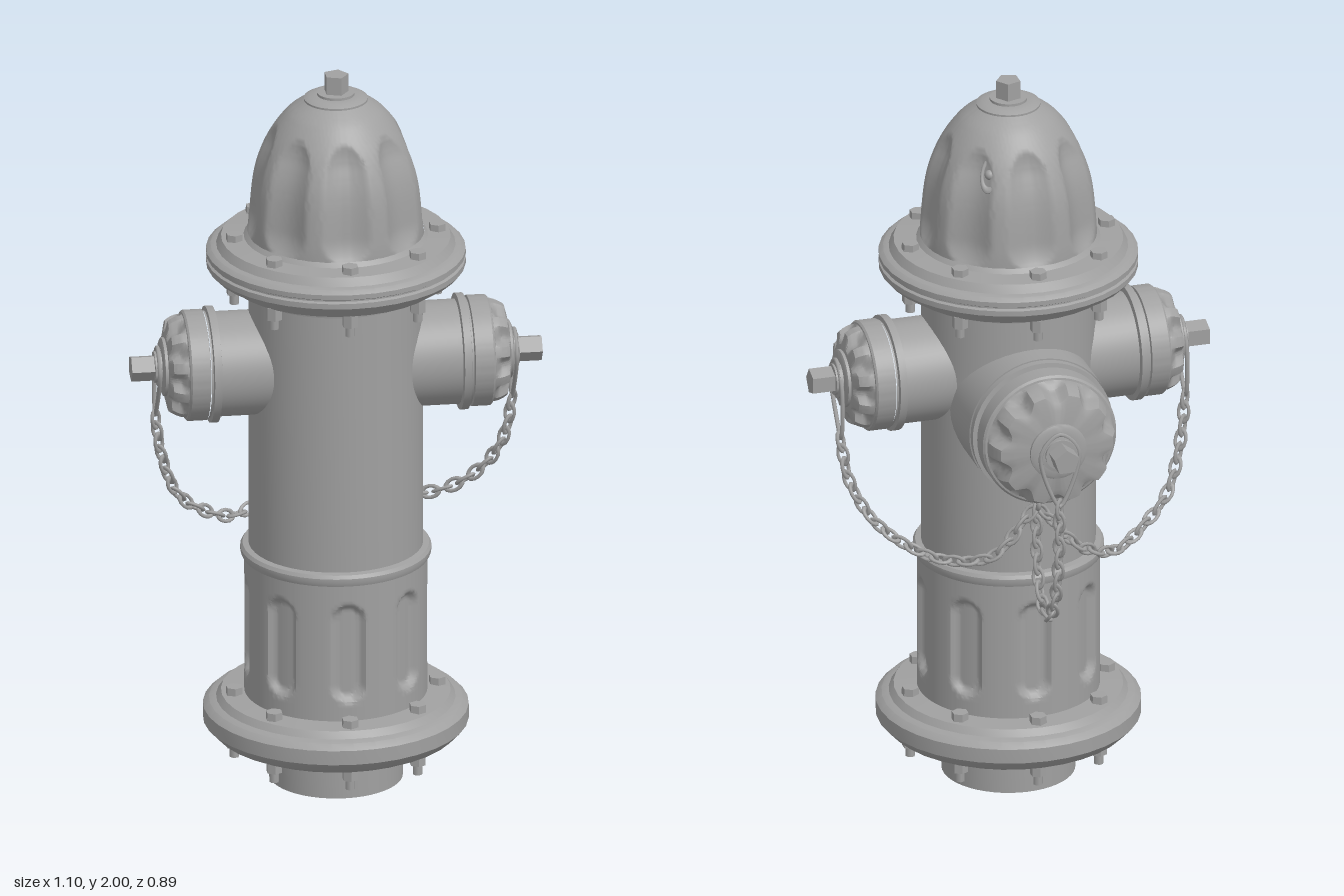
import * as THREE from 'three';
import { toCreasedNormals } from 'three/addons/utils/BufferGeometryUtils.js';

const Z0 = 0.09; // body axis, set forward of the large rear outlet
const V2 = (a) => new THREE.Vector2(a[0], a[1]);
const V3 = (a) => new THREE.Vector3(a[0], a[1], a[2]);

const iron = new THREE.MeshStandardMaterial({ color: 0xa0a0a0 });
iron.name = 'castIron';

function add(parent, name, geo, x = 0, y = 0, z = 0) {
  const m = new THREE.Mesh(geo, iron);
  m.name = name;
  m.position.set(x, y, z);
  parent.add(m);
  return m;
}

// Turned profile [radius, height]; dent(angle, height, radius) optionally carves inward
function turned(profile, segs = 32, dent = null, crease = 0.5) {
  const geo = new THREE.LatheGeometry(profile.map(V2), segs);
  if (dent) {
    const p = geo.attributes.position;
    for (let i = 0; i < p.count; i++) {
      const x = p.getX(i), y = p.getY(i), z = p.getZ(i), r = Math.hypot(x, z);
      if (r < 1e-5) continue;
      const k = 1 - dent(Math.atan2(x, z), y, r) / r;
      p.setXYZ(i, x * k, y, z * k);
    }
  }
  return toCreasedNormals(geo, crease);
}

// Angle measured from the nearest of n evenly spaced centres
function nearest(angle, n) {
  const step = (Math.PI * 2) / n;
  return angle - Math.round(angle / step) * step;
}

// Distance outside the centre line of an upright slot
function slotDistance(a, y, r, lo, hi) {
  return Math.hypot(a * r, y - THREE.MathUtils.clamp(y, lo, hi));
}

// Eight bolts through a flange, with nuts and studs beneath
function boltRing(parent, name, top, bottom) {
  const ring = new THREE.Group();
  ring.name = name;
  const head = new THREE.CylinderGeometry(0.023, 0.024, 0.03, 6);
  const nut = new THREE.CylinderGeometry(0.022, 0.022, 0.035, 6);
  const stud = new THREE.CylinderGeometry(0.013, 0.013, 0.06, 8);
  for (let i = 0; i < 8; i++) {
    const a = (i * Math.PI) / 4, x = 0.272 * Math.sin(a), z = Z0 + 0.272 * Math.cos(a);
    add(ring, 'boltHead', toCreasedNormals(head, 0.5), x, top, z);
    add(ring, 'nut', toCreasedNormals(nut, 0.5), x, bottom - 0.015, z);
    add(ring, 'stud', stud, x, bottom - 0.03, z);
  }
  parent.add(ring);
}

// Outlet along +y: neck, flange, scalloped cap, stepped collar, five-sided nut
function outlet(name, R, neckR, flange, rim, shoulder, face, end) {
  const g = new THREE.Group();
  g.name = name;
  add(g, 'neck', turned([[neckR, 0.1], [neckR, flange]], 48));
  add(g, 'neckFlange', turned([[neckR - 0.02, flange - 0.005], [R * 1.05, flange], [R * 1.05, flange + 0.02],
    [R * 0.97, flange + 0.022], [R * 0.97, rim]], 48));
  const cone = [];
  for (let i = 0; i <= 8; i++) {
    const t = i / 8;
    cone.push([R * (0.94 - 0.1 * t * t), shoulder + (face - shoulder) * t]);
  }
  const scallop = (a, y, r) => {
    if (y < shoulder + 0.002 || r < R * 0.8) return 0;
    const u = nearest(a, 10) / 0.2;
    return Math.abs(u) < 1 ? 0.024 * (1 - u * u) * Math.min(1, (y - shoulder) / 0.018) : 0;
  };
  add(g, 'cap', turned([[R * 0.9, rim], [R, rim + 0.003], [R, shoulder - 0.006], [R * 0.97, shoulder - 0.001], ...cone,
    [R * 0.62, face + 0.008], [0, face + 0.01]], 120, scallop));
  add(g, 'collar', turned([[0.078, face], [0.078, face + 0.016], [0.07, face + 0.02], [0.052, face + 0.021],
    [0.052, face + 0.03], [0.042, face + 0.032], [0.042, face + 0.038], [0, face + 0.04]], 32));
  add(g, 'capNut', toCreasedNormals(new THREE.CylinderGeometry(0.036, 0.036, end - face, 5), 0.5), 0, (end + face) / 2, 0);
  return g;
}

// Interlocking oval links along a curve
function chain(parent, name, points) {
  const g = new THREE.Group();
  g.name = name;
  const curve = new THREE.CatmullRomCurve3(points.map(V3));
  const n = Math.round(curve.getLength() / 0.037);
  const link = new THREE.TorusGeometry(0.0155, 0.005, 6, 12).scale(1, 1.65, 1);
  const up = new THREE.Vector3(0, 1, 0);
  const roll = new THREE.Quaternion();
  for (let i = 0; i <= n; i++) {
    const m = add(g, 'chainLink', link);
    m.position.copy(curve.getPointAt(i / n));
    m.quaternion.setFromUnitVectors(up, curve.getTangentAt(i / n).negate());
    m.quaternion.multiply(roll.setFromAxisAngle(up, Math.PI / 4 + (i % 2) * Math.PI / 2));
  }
  parent.add(g);
}

// Long wire loop hanging round a cap collar
function hanger(parent, x, y, z, turn, lean) {
  const pts = [[0, 0.055, 0], [-0.052, 0, 0], [lean - 0.013, -0.14, 0], [lean, -0.155, 0], [lean + 0.013, -0.14, 0], [0.052, 0, 0]];
  const curve = new THREE.CatmullRomCurve3(pts.map(V3), true);
  add(parent, 'chainHanger', new THREE.TubeGeometry(curve, 40, 0.006, 6, true), x, y, z).rotation.y = turn;
}

export function createModel() {
  const model = new THREE.Group();
  model.name = 'fireHydrant';

  // Hollow foot pipe, closed off inside
  add(model, 'footPipe', turned([[0, 0.11], [0.162, 0.11], [0.162, 0], [0.178, 0], [0.178, 0.14]], 48), 0, 0, Z0);
  add(model, 'baseFlange', turned([[0.16, 0.12], [0.3, 0.123], [0.325, 0.135], [0.353, 0.165], [0.353, 0.205], [0.337, 0.22],
    [0.318, 0.225], [0.305, 0.243], [0.24, 0.247]], 36), 0, 0, Z0);
  boltRing(model, 'baseBolts', 0.25, 0.125);

  // Lower barrel with eight slotted recesses
  const barrel = [];
  for (let i = 0; i <= 48; i++) barrel.push([0.243, 0.24 + (i / 48) * 0.41]);
  add(model, 'lowerBarrel', turned(barrel, 192, (a, y, r) => {
    const d = slotDistance(nearest(a, 8), y, r, 0.345, 0.53);
    return 0.02 * (1 - THREE.MathUtils.smoothstep(d, 0.03, 0.05));
  }, 0.8), 0, 0, Z0);
  add(model, 'barrelRing', turned([[0.235, 0.63], [0.25, 0.634], [0.254, 0.645], [0.254, 0.656], [0.248, 0.665], [0.228, 0.668]], 48), 0, 0, Z0);
  add(model, 'upperBarrel', turned([[0.232, 0.65], [0.232, 1.395], [0.246, 1.4], [0.25, 1.43]], 48), 0, 0, Z0);

  // Two clamped plates under the bonnet
  add(model, 'topFlange', turned([[0.22, 1.42], [0.29, 1.422], [0.305, 1.44], [0.332, 1.45], [0.345, 1.465], [0.345, 1.48],
    [0.338, 1.484], [0.338, 1.488], [0.345, 1.492], [0.345, 1.505], [0.333, 1.515], [0.318, 1.518], [0.305, 1.54],
    [0.245, 1.543], [0.235, 1.555]], 36), 0, 0, Z0);
  boltRing(model, 'topBolts', 1.545, 1.42);

  // Fluted bonnet
  const bell = new THREE.SplineCurve([[0.235, 1.545], [0.233, 1.6], [0.223, 1.7], [0.205, 1.77], [0.175, 1.835], [0.13, 1.895],
    [0.08, 1.932]].map(V2)).getPoints(48).map((p) => [p.x, p.y]);
  add(model, 'bonnet', turned([...bell, [0, 1.935]], 160, (a, y) => {
    const d = slotDistance(nearest(a, 8), y, 0.235, 1.61, 1.79) / 0.068;
    return d < 1 ? 0.024 * (1 - d * d) : 0;
  }, 0.7), 0, 0, Z0);
  add(model, 'bonnetCollar', turned([[0.085, 1.925], [0.085, 1.934], [0.07, 1.942], [0.05, 1.943], [0.05, 1.95], [0, 1.951]], 40), 0, 0, Z0);
  add(model, 'operatingNut', toCreasedNormals(new THREE.CylinderGeometry(0.034, 0.034, 0.07, 5), 0.5), 0, 1.965, Z0).rotation.y = Math.PI / 2;

  // Small oval fitting high on the back of the bonnet
  const vent = new THREE.Group();
  vent.name = 'ventFitting';
  add(vent, 'ventRim', new THREE.TorusGeometry(0.021, 0.005, 8, 24).scale(1, 2, 1));
  add(vent, 'ventPlug', new THREE.SphereGeometry(0.014, 16, 12));
  vent.position.set(0.097, 1.8, Z0 - 0.15);
  vent.lookAt(0.097 * 2, 1.9, Z0 - 0.3);
  model.add(vent);

  // Side outlets and the larger rear outlet
  for (const s of [1, -1]) {
    const side = outlet(s > 0 ? 'leftOutlet' : 'rightOutlet', 0.148, 0.14, 0.325, 0.352, 0.41, 0.45, 0.55);
    side.position.set(0, 1.19, Z0);
    side.rotation.z = (-s * Math.PI) / 2;
    model.add(side);
    hanger(model, s * 0.478, 1.19, Z0, Math.PI / 2, 0.04);
    const sag = s > 0 ? 0 : 0.035;
    chain(model, s > 0 ? 'leftChain' : 'rightChain', [[s * 0.477, 1.025, 0.05], [s * 0.46, 0.92, 0.03],
      [s * 0.41, 0.82 - sag, -0.01], [s * 0.33, 0.75 - sag, -0.05], [s * 0.24, 0.715 - sag, -0.1],
      [s * 0.12, 0.735, -0.16], [s * 0.02, 0.85, -0.17]]);
  }
  const rear = outlet('rearOutlet', 0.185, 0.198, 0.295, 0.322, 0.382, 0.445, 0.537);
  rear.position.set(0, 1.115, Z0);
  rear.rotation.x = -Math.PI / 2;
  model.add(rear);
  hanger(model, 0, 1.115, -0.382, 0, 0);
  chain(model, 'rearChain', [[0, 0.95, -0.378], [0, 0.84, -0.375], [0, 0.7, -0.35], [0, 0.61, -0.3], [0, 0.59, -0.255],
    [0, 0.63, -0.2], [0, 0.74, -0.17], [0, 0.85, -0.167]]);

  // Eye under the rear outlet that gathers the chains
  add(model, 'chainLug', new THREE.CylinderGeometry(0.026, 0.014, 0.03, 16), 0, 0.912, -0.167);
  add(model, 'chainEye', new THREE.TorusGeometry(0.021, 0.007, 8, 20), 0, 0.882, -0.167).rotation.y = Math.PI / 2;

  return model;
}
